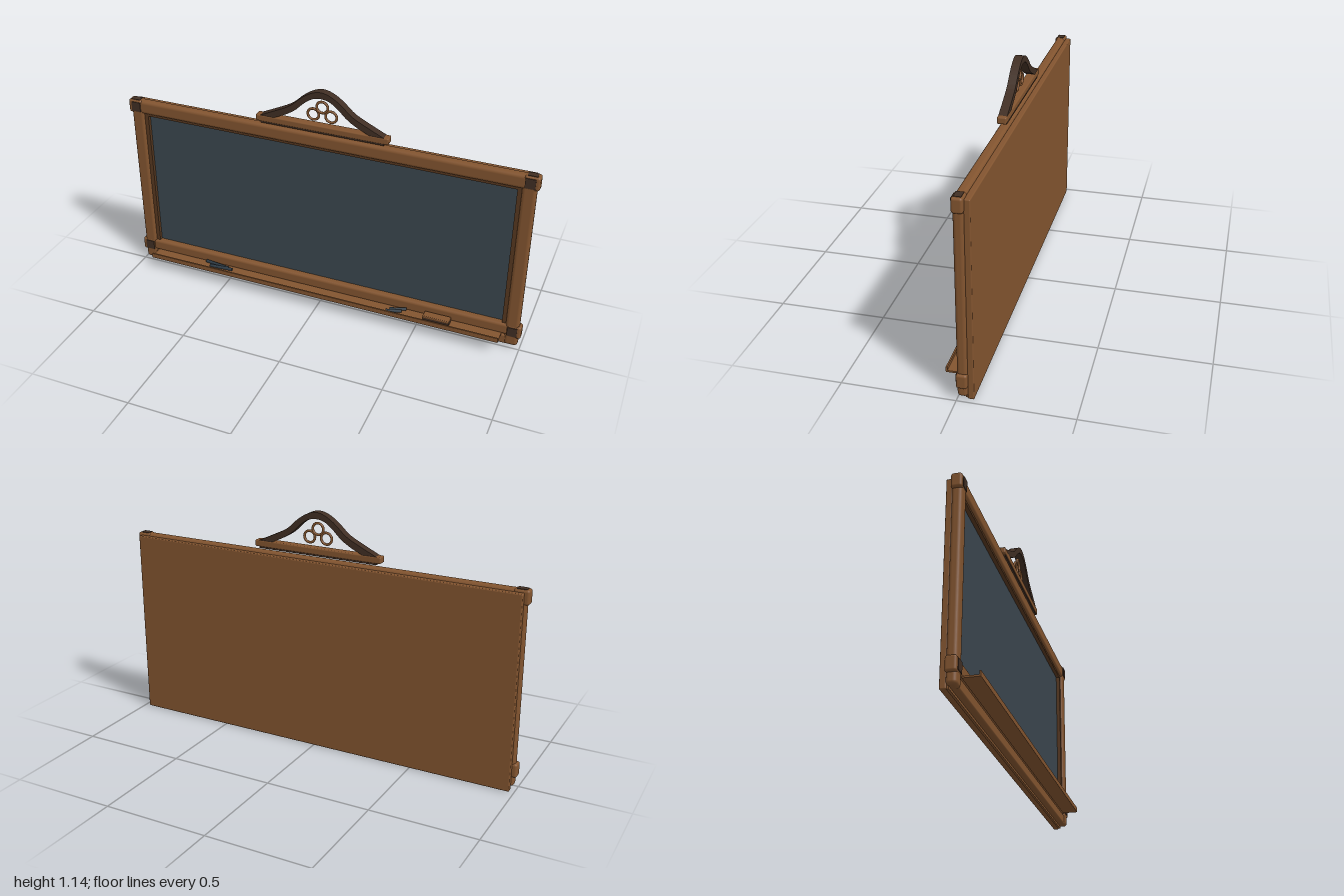
import * as THREE from 'three';
import { RoundedBoxGeometry } from 'three/addons/geometries/RoundedBoxGeometry.js';

const material = (name, color) => {
  const m = new THREE.MeshStandardMaterial({ color });
  m.name = name;
  return m;
};

export function createModel() {
  const root = new THREE.Group();
  root.name = 'wallChalkboard';
  const wood = material('warmWood', 0x82542f);
  const dark = material('darkWood', 0x402e23);
  const trimWood = material('shadowWood', 0x573820);
  const slate = material('slate', 0x3b464e);
  const marker = material('markerBlue', 0x2c3943);

  const add = (name, geometry, mat, x = 0, y = 0, z = 0, parent = root) => {
    const mesh = new THREE.Mesh(geometry, mat);
    mesh.name = name;
    mesh.position.set(x, y, z);
    parent.add(mesh);
    return mesh;
  };
  // Boxes given by their limits on each axis; r > 0 rounds the edges
  const block = (name, mat, [x0, x1], [y0, y1], [z0, z1], r = 0, parent = root) => {
    const size = [x1 - x0, y1 - y0, z1 - z0];
    const geometry = r ? new RoundedBoxGeometry(...size, 3, r) : new THREE.BoxGeometry(...size);
    return add(name, geometry, mat, (x0 + x1) / 2, (y0 + y1) / 2, (z0 + z1) / 2, parent);
  };

  // Backing and writing surface
  block('backPanel', wood, [-0.978, 0.978], [0, 0.915], [-0.07, -0.043], 0.005);
  block('backFoot', wood, [-0.97, 0.97], [0.002, 0.03], [-0.05, -0.034]);
  block('writingSurface', slate, [-0.91, 0.91], [0.11, 0.86], [-0.043, -0.03]);

  // Outer rails
  block('topRail', wood, [-0.98, 0.98], [0.858, 0.926], [-0.045, 0], 0.016);
  block('bottomRail', wood, [-0.94, 0.94], [0.068, 0.127], [-0.045, 0], 0.014);
  block('lowerRail', wood, [-0.94, 0.94], [0.013, 0.062], [-0.045, -0.004], 0.008);
  block('topTrim', trimWood, [-0.925, 0.925], [0.846, 0.862], [-0.04, -0.012]);

  for (const s of [-1, 1]) {
    const span = (a, b) => (s > 0 ? [a, b] : [-b, -a]);
    block('sidePost', wood, span(0.924, 0.988), [0.013, 0.915], [-0.045, 0], 0.016);
    block('sideTrim', trimWood, span(0.905, 0.928), [0.12, 0.858], [-0.04, -0.012]);
    // Corner caps with dark inlays on the front and top
    for (const y of [0.06, 0.86]) {
      block('cornerCap', wood, span(0.93, 1), [y, y + 0.067], [-0.046, 0.002], 0.011);
      block('capFrontInlay', dark, span(0.936, 0.982), [y + 0.01, y + 0.058], [0, 0.005]);
      block('capTopInlay', dark, span(0.942, 0.986), [y + 0.064, y + 0.069], [-0.038, -0.006]);
    }
  }

  // Tray with a raised lip
  block('trayShelf', wood, [-0.91, 0.91], [0.067, 0.075], [-0.005, 0.07]);
  block('trayLip', wood, [-0.91, 0.91], [0.067, 0.091], [0.063, 0.07]);

  // Eraser and writing sticks on the tray
  const eraser = new THREE.Group();
  eraser.name = 'eraser';
  root.add(eraser);
  block('eraserFelt', dark, [0.54, 0.67], [0.075, 0.09], [0.009, 0.048], 0.004, eraser);
  block('eraserBack', wood, [0.54, 0.67], [0.088, 0.101], [0.007, 0.05], 0.004, eraser);
  const stick = (x, z, length, turn) => {
    const m = add('writingStick', new THREE.CylinderGeometry(0.008, 0.008, length, 10), marker, x, 0.083, z);
    m.rotation.set(0, turn, Math.PI / 2);
  };
  stick(-0.56, 0.019, 0.13, -0.12);
  stick(-0.53, 0.036, 0.12, 0.06);
  stick(0.41, 0.022, 0.08, 0.35);
  stick(0.395, 0.043, 0.075, 0.3);

  // Crest: base bar, bell-shaped arch and three rings
  const crest = new THREE.Group();
  crest.name = 'crest';
  root.add(crest);
  block('crestBase', wood, [-0.322, 0.322], [0.944, 0.975], [-0.043, 0], 0.006, crest);
  block('crestUnderside', dark, [-0.3, 0.3], [0.937, 0.945], [-0.04, -0.003], 0, crest);

  const halfOuter = [[0.305, 0.972], [0.22, 1.012], [0.15, 1.049], [0.095, 1.098], [0.045, 1.13]];
  const halfInner = [[0.235, 0.972], [0.175, 1.0], [0.125, 1.032], [0.08, 1.075], [0.04, 1.102]];
  const bell = (half, top) => new THREE.SplineCurve([
    ...half.map(([x, y]) => new THREE.Vector2(-x, y)),
    new THREE.Vector2(0, top),
    ...half.slice().reverse().map(([x, y]) => new THREE.Vector2(x, y)),
  ]).getPoints(32);
  const archShape = new THREE.Shape([...bell(halfOuter, 1.141), ...bell(halfInner, 1.11).reverse()]);
  add('crestArch', new THREE.ExtrudeGeometry(archShape, { depth: 0.039, bevelEnabled: false }),
    dark, 0, 0, -0.041, crest);

  for (const [x, y] of [[0, 1.06], [-0.043, 1.02], [0.043, 1.02]]) {
    add('crestRing', new THREE.TorusGeometry(0.027, 0.006, 10, 28), wood, x, y, -0.021, crest);
  }
  return root;
}
